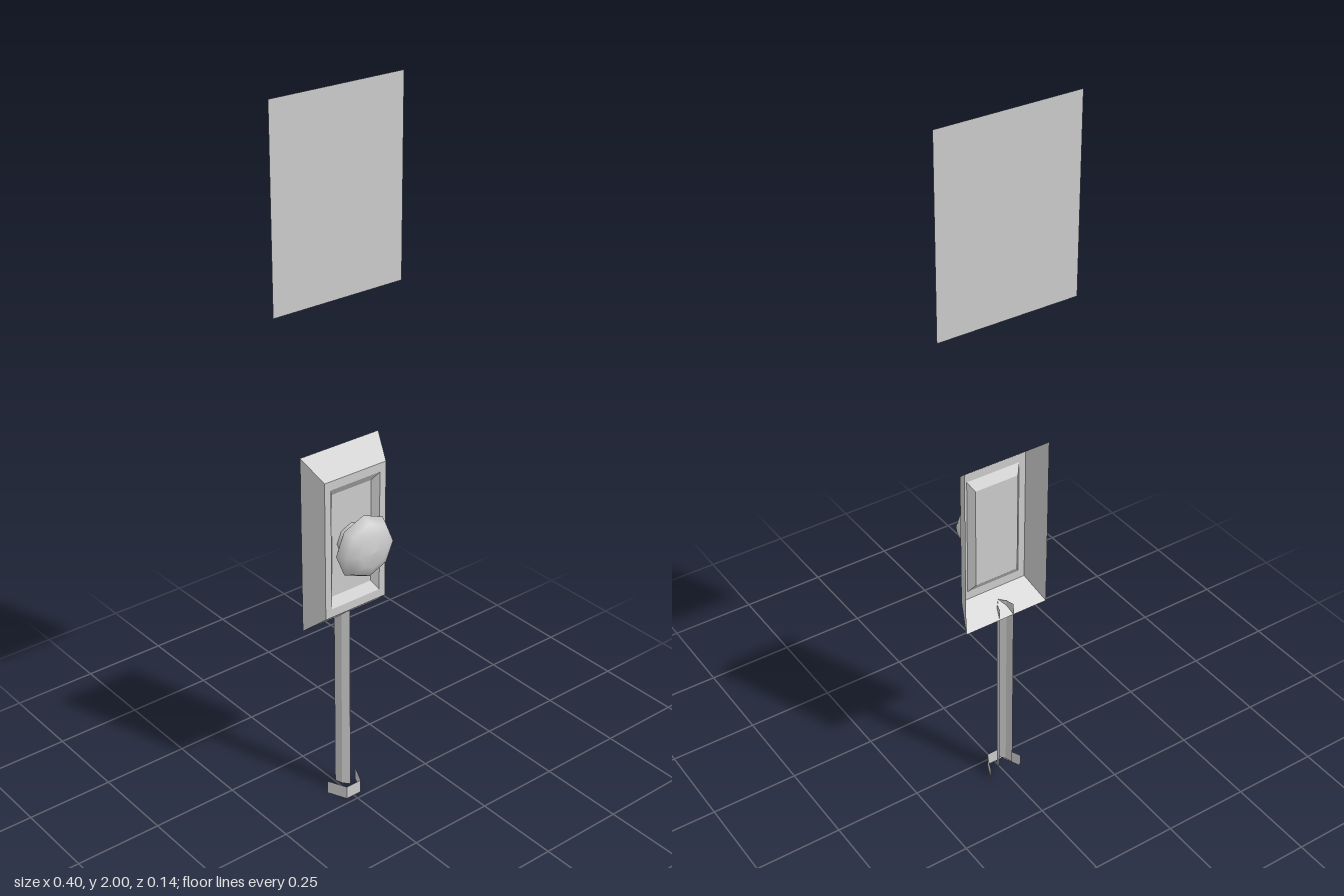
import * as THREE from 'three';

const BACK = -0.072;

// Flat-shaded skin through matching cross-section loops of [x, y, z] points
function skin(loops, closed, capLast) {
  const pos = [];
  const n = loops[0].length;
  for (let i = 0; i < loops.length - 1; i++) {
    const a = loops[i], b = loops[i + 1];
    for (let j = 0; j < (closed ? n : n - 1); j++) {
      const k = (j + 1) % n;
      pos.push(...a[j], ...a[k], ...b[k], ...a[j], ...b[k], ...b[j]);
    }
  }
  if (capLast) {
    const c = loops[loops.length - 1];
    for (let j = 1; j < n - 1; j++) pos.push(...c[0], ...c[j], ...c[j + 1]);
  }
  const geo = new THREE.BufferGeometry();
  geo.setAttribute('position', new THREE.Float32BufferAttribute(pos, 3));
  geo.computeVertexNormals();
  return geo;
}

// Counter-clockwise rectangle seen from the front
const rect = (w, y0, y1, z) => [[-w, y0, z], [w, y0, z], [w, y1, z], [-w, y1, z]];

// Open-backed upright channel from an [x, z] section
const channel = (section, y0, y1) =>
  skin([y0, y1].map((y) => section.map(([x, z]) => [x, y, z])), false, false);

// Eight-sided turned part pointing forward, from [radius, z] points
function turned(points) {
  const geo = new THREE.LatheGeometry(points.map(([r, z]) => new THREE.Vector2(r, z)), 8);
  return geo.rotateX(Math.PI / 2).translate(0, 0.82, 0);
}

export function createModel() {
  const group = new THREE.Group();
  const grey = new THREE.MeshStandardMaterial({ color: 0xcccccc, side: THREE.DoubleSide });
  grey.name = 'light grey';

  const add = (name, geo) => {
    const mesh = new THREE.Mesh(geo, grey);
    mesh.name = name;
    group.add(mesh);
    return mesh;
  };

  // Floating sign panel
  add('signPanel', new THREE.PlaneGeometry(0.4, 0.53)).position.set(0, 1.735, BACK);

  // Bevelled housing with a recessed centre, open at the back
  add('housing', skin([
    rect(0.127, 0.565, 1.075, BACK),
    rect(0.1, 0.62, 1.02, -0.008),
    rect(0.08, 0.645, 0.995, -0.008),
    rect(0.065, 0.67, 0.97, -0.025),
  ], true, true));

  // Push button: neck, rear ring and domed head
  add('buttonNeck', turned([[0.048, -0.025], [0.048, 0.01]]));
  add('buttonBack', turned([[0.048, 0.01], [0.075, 0.01]]));
  add('buttonHead', turned([
    [0.075, 0.01], [0.09, 0.024], [0.077, 0.05], [0.045, 0.066], [0, 0.071],
  ]));

  // Conduit and foot, both open at the back
  add('conduit', channel(
    [[-0.022, BACK], [-0.015, -0.05], [0, -0.032], [0.015, -0.05], [0.022, BACK]], 0.03, 0.6));
  add('foot', channel(
    [[-0.05, BACK], [-0.025, -0.017], [0.025, -0.017], [0.05, BACK]], 0, 0.04));

  return group;
}
